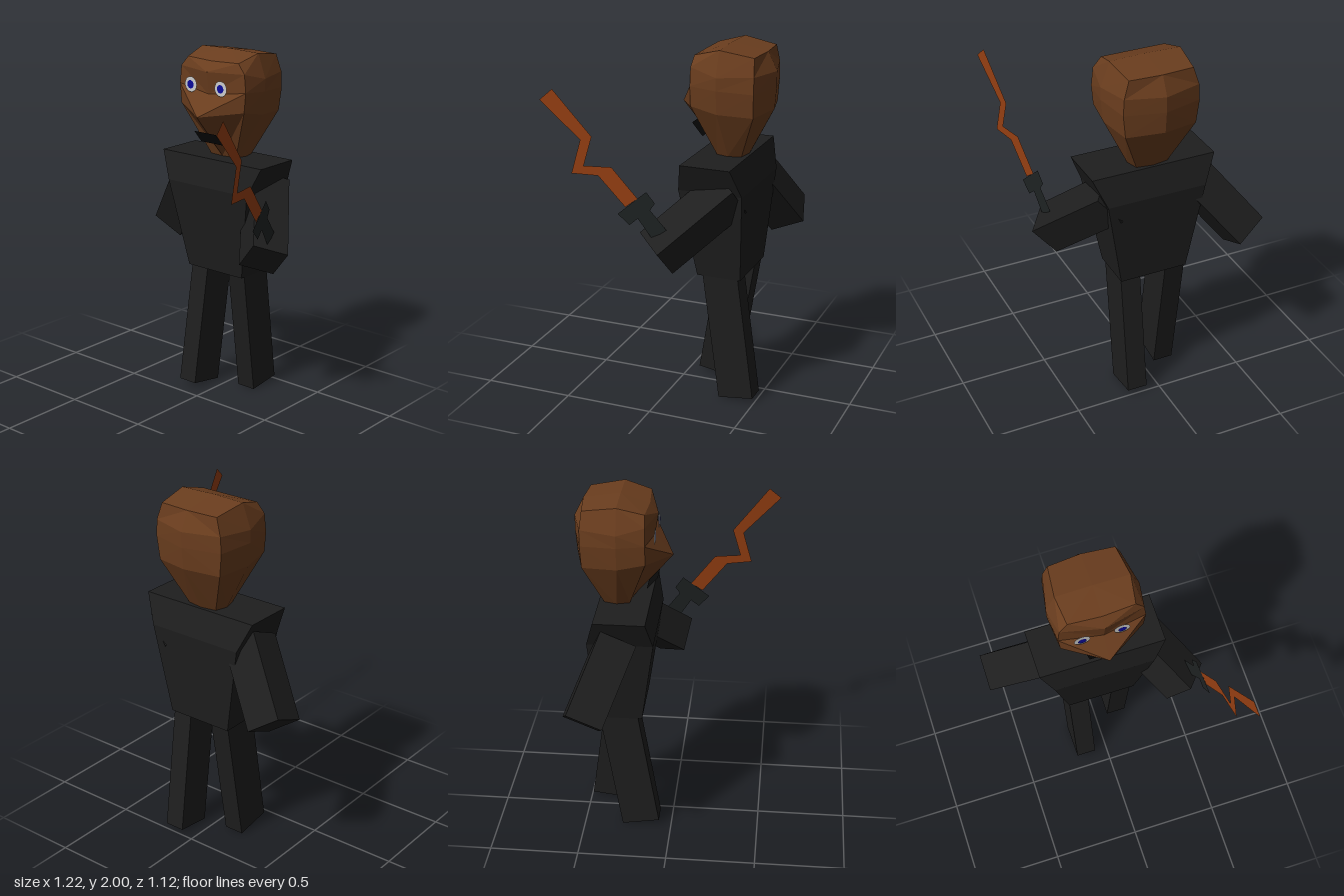
import * as THREE from 'three';

const mat = (color, extra = {}) => new THREE.MeshStandardMaterial({ color, flatShading: true, ...extra });
const skin = mat(0x6a3d1e);
const cloth = mat(0x1e1e1e);
const double = { side: THREE.DoubleSide };

// Skin closed rings of points, bottom to top, with end caps; an apex point tops the last cap.
function loft(rings, apex) {
  const n = rings[0].length, pos = [];
  const tri = (a, b, c) => pos.push(...a, ...b, ...c);
  for (let r = 0; r + 1 < rings.length; r++) {
    for (let i = 0; i < n; i++) {
      const j = (i + 1) % n;
      const a = rings[r][i], b = rings[r][j], c = rings[r + 1][j], d = rings[r + 1][i];
      if (i < n / 2) { tri(a, b, c); tri(a, c, d); } else { tri(a, b, d); tri(b, c, d); }
    }
  }
  const low = rings[0], top = rings[rings.length - 1];
  for (let i = 1; i + 1 < n; i++) {
    tri(low[0], low[i + 1], low[i]);
    if (!apex) tri(top[0], top[i], top[i + 1]);
  }
  if (apex) top.forEach((p, i) => tri(p, top[(i + 1) % n], apex));
  const g = new THREE.BufferGeometry();
  g.setAttribute('position', new THREE.Float32BufferAttribute(pos, 3));
  g.computeVertexNormals();
  return g;
}

// Slanted box from one corner and its three edge vectors.
function slab(corner, u, v, w) {
  const [c, U, V, W] = [corner, u, v, w].map((p) => new THREE.Vector3(...p));
  const ring = [c, c.clone().add(U), c.clone().add(U).add(V), c.clone().add(V)];
  if (U.clone().cross(V).dot(W) < 0) ring.reverse();
  return loft([ring.map((p) => p.toArray()), ring.map((p) => p.clone().add(W).toArray())]);
}

// Flat sheet in an upright plane; points are [z, y].
function sheet(points) {
  const g = new THREE.ShapeGeometry(new THREE.Shape(points.map((p) => new THREE.Vector2(...p))));
  const p = g.attributes.position;
  for (let i = 0; i < p.count; i++) {
    const z = p.getX(i);
    p.setXYZ(i, 0.49 + 0.21 * z, p.getY(i), z);
  }
  g.computeVertexNormals();
  return g;
}

export function createModel() {
  const model = new THREE.Group();
  const add = (name, geometry, material) => {
    const mesh = new THREE.Mesh(geometry, material);
    mesh.name = name;
    model.add(mesh);
    return mesh;
  };

  // Torso: widest at the shoulders, deepest at the chest
  const torso = [[0.73, 0.195, -0.16, -0.41], [1.24, 0.285, -0.085, -0.445], [1.4, 0.355, -0.12, -0.4]];
  add('torso', loft(torso.map(([y, x, f, b]) => [[-x, y, f], [x, y, f], [x, y, b], [-x, y, b]])), cloth);

  // Arms
  add('leftArm', slab([0.575, 0.97, -0.085], [-0.125, -0.145, -0.035], [-0.12, 0.065, 0.15], [-0.245, 0.31, -0.325]), cloth);
  add('rightArm', slab([-0.45, 0.88, -0.56], [-0.16, 0.105, 0.045], [0, -0.08, 0.19], [0.28, 0.36, 0.155]), cloth);

  // Legs in mid stride
  add('rightLeg', slab([-0.19, 0.04, -0.07], [0.115, 0, 0], [0, -0.035, -0.21], [0, 0.73, -0.12]), cloth);
  add('leftLeg', slab([0.075, 0.005, -0.29], [0.115, 0, 0], [0, 0.025, -0.2], [0, 0.73, 0.1]), cloth);

  // Head: half rings from front centre round to back centre, mirrored
  const half = [
    [[0, 1.4, -0.22], [0.09, 1.4, -0.23], [0.11, 1.4, -0.3], [0.09, 1.4, -0.37], [0, 1.4, -0.385]],
    [[0, 1.655, 0], [0.225, 1.69, -0.13], [0.235, 1.66, -0.28], [0.2, 1.65, -0.47], [0, 1.66, -0.52]],
    [[0, 1.77, -0.1], [0.235, 1.8, -0.13], [0.25, 1.79, -0.28], [0.215, 1.78, -0.475], [0, 1.78, -0.53]],
    [[0, 1.895, -0.08], [0.225, 1.9, -0.13], [0.25, 1.86, -0.28], [0.21, 1.87, -0.475], [0, 1.865, -0.53]],
    [[0, 1.95, -0.125], [0.18, 1.955, -0.135], [0.2, 1.995, -0.28], [0.18, 1.965, -0.465], [0, 1.967, -0.48]],
  ];
  const rings = half.map((h) => [...h, ...h.slice(1, 4).reverse().map(([x, y, z]) => [-x, y, z])]);
  add('head', loft(rings, [0, 2, -0.28]), skin);

  // Eyes
  for (const [side, x] of [['left', 0.094], ['right', -0.119]]) {
    add(side + 'Eye', new THREE.CircleGeometry(0.043, 20), mat(0xcccccc, double)).position.set(x, 1.812, -0.088);
    add(side + 'Iris', new THREE.CircleGeometry(0.023, 20), mat(0x0a0a9a, double)).position.set(x, 1.812, -0.084);
  }

  // Mouth, leaning with the chin
  const mouth = add('mouth', new THREE.PlaneGeometry(0.155, 0.093), mat(0x080808, double));
  mouth.position.set(-0.008, 1.52, -0.108);
  mouth.rotation.x = Math.atan2(0.22, 0.255);

  // Zigzag sword, a thin flat sheet
  add('swordBlade', sheet([
    [0.49, 1.81], [0.557, 1.75], [0.35, 1.545], [0.4, 1.36], [0.26, 1.355],
    [0.12, 1.19], [0.055, 1.24], [0.19, 1.405], [0.335, 1.405], [0.29, 1.565],
  ]), mat(0x963f12, double));
  add('swordHilt', sheet([
    [0.01, 1.28], [0.16, 1.15], [0.1, 1.09], [0.055, 1.13],
    [-0.02, 1.02], [-0.095, 1.075], [-0.01, 1.18], [-0.035, 1.22],
  ]), mat(0x1e2222, double));

  return model;
}
